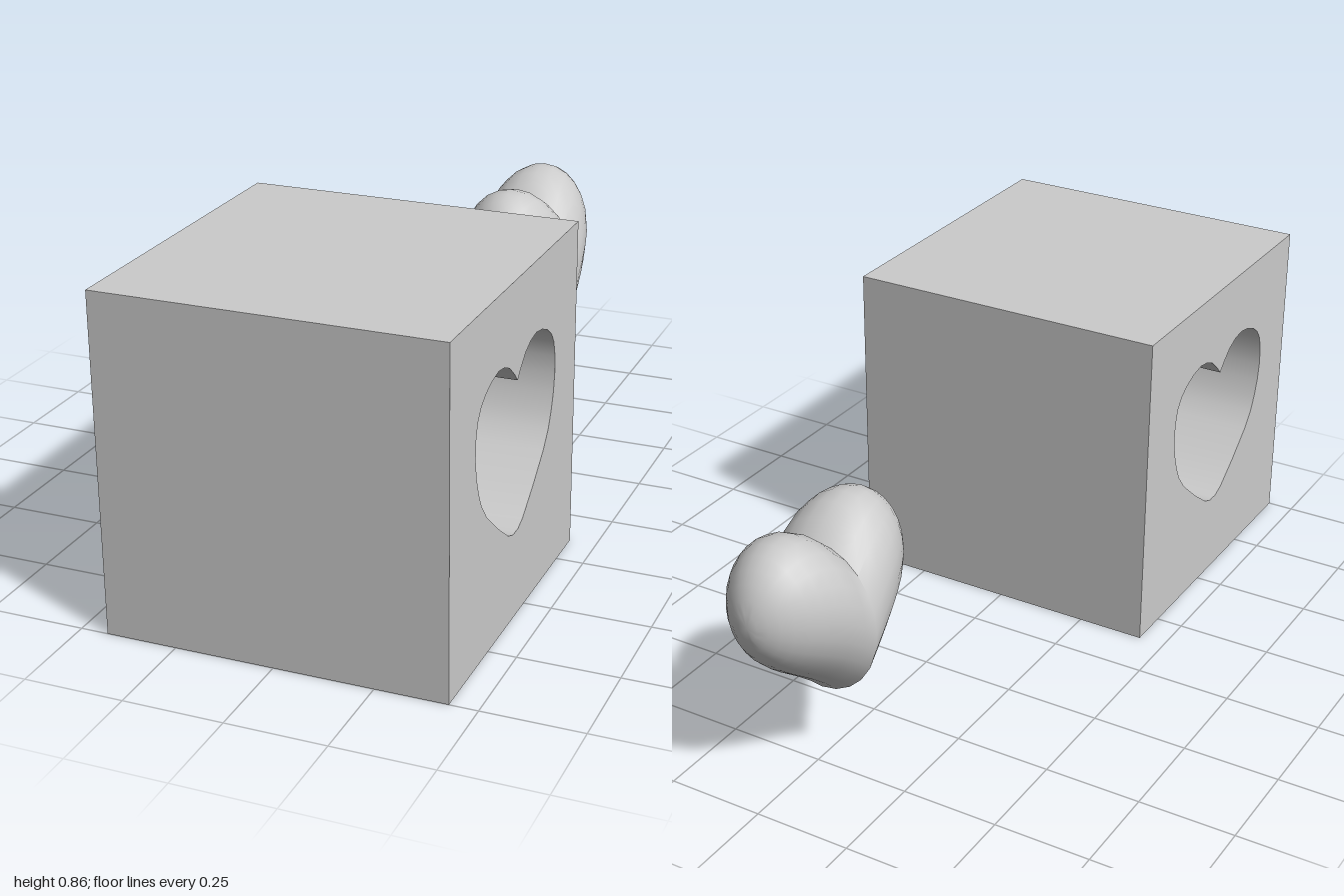
import * as THREE from 'three';
import { toCreasedNormals } from 'three/addons/utils/BufferGeometryUtils.js';

const grey = () => new THREE.MeshStandardMaterial({ color: 0xcccccc });

// Cube with a heart-shaped tunnel running from side to side
function makeCube() {
  const s = 0.43;
  const block = new THREE.Shape([[-s, 0], [s, 0], [s, 2 * s], [-s, 2 * s]].map(([x, y]) => new THREE.Vector2(x, y)));

  // Half of the heart outline, from the bottom tip up to the notch
  const half = new THREE.SplineCurve([
    [0, 0.225], [0.05, 0.237], [0.197, 0.353], [0.25, 0.433], [0.272, 0.524],
    [0.26, 0.61], [0.21, 0.658], [0.128, 0.681], [0.055, 0.66], [0, 0.61],
  ].map(([x, y]) => new THREE.Vector2(x, y))).getPoints(18);
  const mirrored = half.slice(1, -1).reverse().map((p) => new THREE.Vector2(-p.x, p.y));
  block.holes.push(new THREE.Path([...half, ...mirrored]));

  const geo = new THREE.ExtrudeGeometry(block, { depth: 2 * s, bevelEnabled: false, curveSegments: 1 });
  geo.translate(0, 0, -s).rotateY(-Math.PI / 2);
  const mesh = new THREE.Mesh(toCreasedNormals(geo, 0.7), grey());
  mesh.name = 'cubeWithHeartTunnel';
  mesh.position.z = 0.57;
  return mesh;
}

// Puffy heart: a flattened sphere whose sides are lifted away from the middle
function makeHeart() {
  const geo = new THREE.SphereGeometry(1, 24, 20).rotateX(Math.PI / 2);
  const pos = geo.attributes.position;
  for (let i = 0; i < pos.count; i++) {
    const z = pos.getZ(i);
    const t = Math.min(1, Math.abs(z));
    const lift = 0.115 * (1 - Math.pow(1 - t, 2.5));
    const ring = Math.sqrt(Math.max(1e-9, 1 - t * t));
    const fuller = Math.sqrt(Math.max(0, 1 - Math.pow(t, 2.3))) / ring;
    const y = t > 0.9999 ? 0 : pos.getY(i) * fuller;
    pos.setXYZ(i, pos.getX(i) * 0.165, 0.4025 + lift + y * 0.2025, z * 0.277);
  }
  const mesh = new THREE.Mesh(toCreasedNormals(geo, 1.0), grey());
  mesh.name = 'heart';
  mesh.position.z = -0.723;
  return mesh;
}

export function createModel() {
  const model = new THREE.Group();
  model.name = 'cubeAndHeart';
  model.add(makeCube(), makeHeart());
  return model;
}
